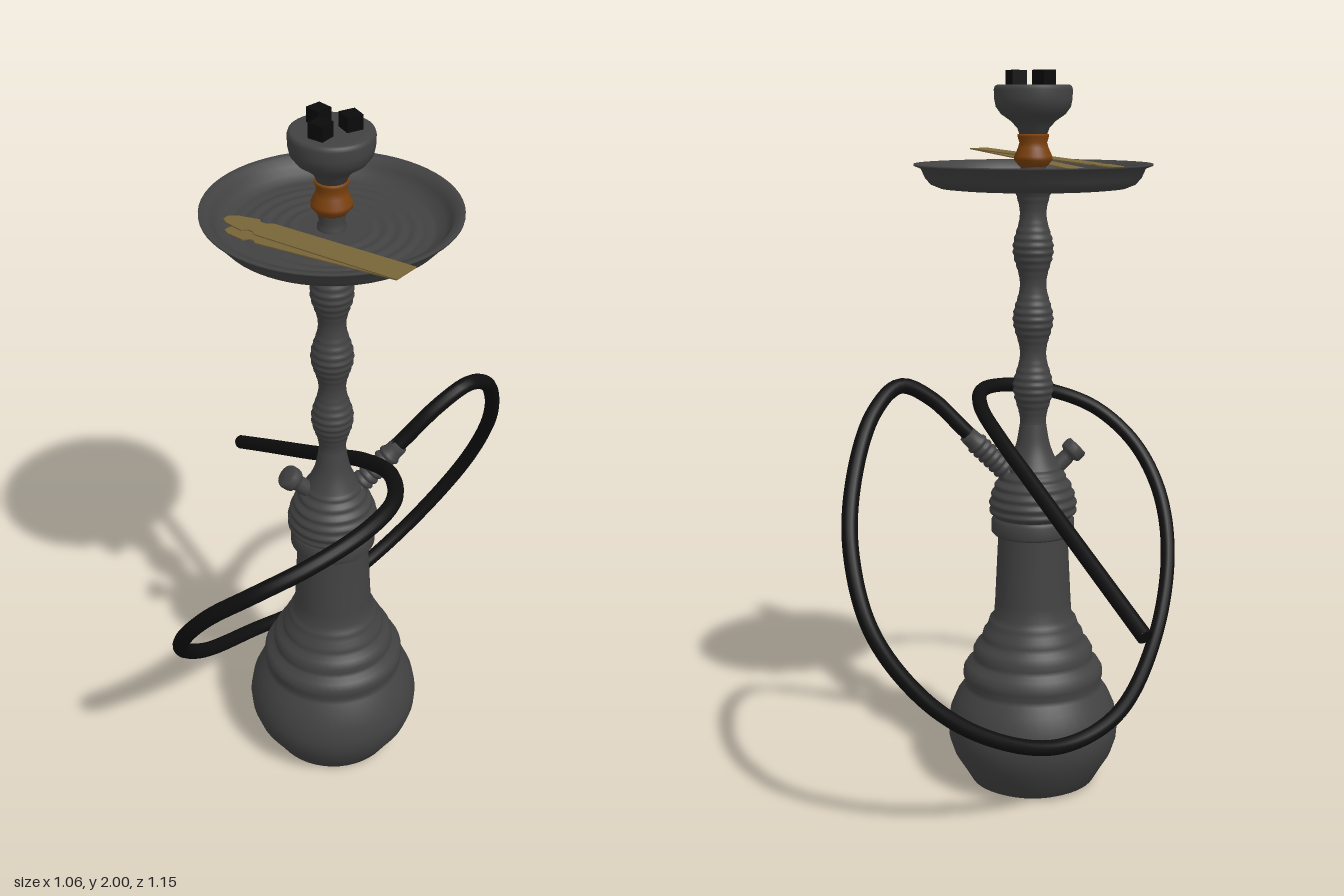
import * as THREE from 'three';

const V3 = (x, y, z) => new THREE.Vector3(x, y, z);
const V2 = ([x, y]) => new THREE.Vector2(x, y);

const mat = (name, color) => {
  const m = new THREE.MeshStandardMaterial({ color });
  m.name = name;
  return m;
};

export function createModel() {
  const grey = mat('dark grey metal', 0x424242);
  const black = mat('hose black', 0x0e0e0e);
  const coalBlack = mat('coal black', 0x0a0a0a);
  const amber = mat('amber collar', 0x7a400c);
  const brass = mat('brass', 0x7a6739);

  const model = new THREE.Group();
  model.name = 'waterPipe';
  const column = new THREE.Group();
  column.name = 'column';
  column.position.set(-0.035, 0, 0.085);
  model.add(column);

  const add = (parent, name, geometry, material) => {
    const mesh = new THREE.Mesh(geometry, material);
    mesh.name = name;
    parent.add(mesh);
    return mesh;
  };
  // profile points run from the bottom, up the outside
  const lathe = (pts, seg = 48) => new THREE.LatheGeometry(pts.map(V2), seg);
  // a lathed part whose axis runs from a point along a direction
  const spoke = (name, pts, from, dir) => {
    const m = add(column, name, lathe(pts, 20), grey);
    m.position.copy(from);
    m.quaternion.setFromUnitVectors(V3(0, 1, 0), dir.clone().normalize());
  };

  // vase with recessed foot and stepped shoulders
  add(column, 'vase', lathe([
    [0, 0.03], [0.07, 0.027], [0.09, 0.004], [0.11, 0], [0.155, 0], [0.178, 0.012],
    [0.2, 0.05], [0.225, 0.09], [0.24, 0.135], [0.243, 0.175], [0.235, 0.22], [0.217, 0.262],
    [0.199, 0.288], [0.193, 0.3], [0.199, 0.32], [0.198, 0.338], [0.188, 0.355], [0.172, 0.366],
    [0.169, 0.378], [0.17, 0.395], [0.16, 0.413], [0.146, 0.422], [0.144, 0.435], [0.14, 0.45],
    [0.13, 0.462], [0.126, 0.475], [0.122, 0.488], [0.11, 0.5], [0.107, 0.54],
    [0.103, 0.62], [0.099, 0.7], [0.097, 0.75]]), grey);

  // collar and ribbed hub
  add(column, 'collar', lathe([
    [0.09, 0.735], [0.11, 0.735], [0.116, 0.742], [0.116, 0.775], [0.108, 0.782], [0.108, 0.788]]), grey);
  const hub = new THREE.SplineCurve([
    [0.108, 0.783], [0.12, 0.8], [0.12, 0.83], [0.108, 0.87], [0.088, 0.905],
    [0.065, 0.945], [0.047, 0.99], [0.036, 1.05]].map(V2)).getPoints(64);
  add(column, 'hub', lathe(hub.map((p) => [
    p.x + (p.y < 0.93 ? 0.0025 * Math.cos((p.y - 0.8) * 2 * Math.PI / 0.026) : 0), p.y])), grey);

  // stem with repeating ringed bulges
  const stem = [];
  for (let i = 0; i <= 160; i++) {
    const y = 1.045 + 0.655 * i / 160;
    const bulge = 0.5 + 0.5 * Math.cos((y - 1.53) * 2 * Math.PI / 0.19);
    const rings = 0.0018 * bulge * Math.cos(y * 2 * Math.PI / 0.02);
    stem.push([0.036 + 0.019 * bulge + rings, y]);
  }
  add(column, 'stem', lathe(stem, 32), grey);

  // tray with rippled floor
  const tray = [
    [0, 1.69], [0.22, 1.69], [0.25, 1.693], [0.275, 1.703], [0.29, 1.72], [0.301, 1.745],
    [0.32, 1.752], [0.32, 1.757], [0.3, 1.756], [0.288, 1.735], [0.275, 1.718], [0.255, 1.708]];
  for (let i = 1; i <= 50; i++) {
    const r = 0.255 * (1 - i / 50);
    const wave = r > 0.09 && r < 0.23 ? 0.002 * Math.sin((r - 0.09) * 2 * Math.PI / 0.035) : 0;
    tray.push([r, 1.706 + wave]);
  }
  add(column, 'tray', lathe(tray, 64), grey);

  // neck, amber collar and bowl
  add(column, 'trayNeck', lathe([
    [0.036, 1.7], [0.036, 1.715], [0.03, 1.722], [0.034, 1.74], [0.034, 1.756]], 32), grey);
  add(column, 'bowlCollar', lathe([
    [0.03, 1.748], [0.038, 1.75], [0.051, 1.766], [0.051, 1.776], [0.041, 1.798],
    [0.037, 1.812], [0.042, 1.828], [0.042, 1.834], [0.03, 1.836]], 32), amber);
  add(column, 'bowl', lathe([
    [0.03, 1.83], [0.037, 1.833], [0.043, 1.85], [0.06, 1.868], [0.086, 1.886], [0.1, 1.905],
    [0.104, 1.925], [0.105, 1.95], [0.102, 1.959], [0.096, 1.962], [0.08, 1.962], [0, 1.962]]), grey);

  // coals
  [[-0.02, -0.045, 0.5], [0.045, 0.005, 0.25], [-0.035, 0.037, 0.7]].forEach(([x, z, turn], i) => {
    const coal = add(column, `coal${i + 1}`, new THREE.BoxGeometry(0.042, 0.042, 0.042), coalBlack);
    coal.position.set(x, 1.979, z);
    coal.rotation.y = turn;
  });

  // ribbed hose port on the left
  const port = [[0.03, 0]];
  for (let i = 0; i < 7; i++) {
    const y = 0.03 + i * 0.02;
    port.push([0.026, y], [0.031, y + 0.005], [0.031, y + 0.012], [0.026, y + 0.018]);
  }
  port.push([0.025, 0.185], [0.024, 0.2], [0, 0.2]);
  spoke('hosePort', port, V3(0.045, 0.885, 0), V3(1, 1, 0));

  // release valve on the right
  spoke('releaseValve', [
    [0.022, 0], [0.022, 0.075], [0.02, 0.085], [0.031, 0.09], [0.033, 0.098],
    [0.033, 0.115], [0.029, 0.122], [0, 0.124]], V3(-0.04, 0.895, 0), V3(-1, 0.95, 0));

  // hose looping round the vase, ending in a straight handle
  const end = V3(-0.172, 0.635, -0.562);
  const path = new THREE.CatmullRomCurve3([
    [0.11, 0.99, 0.085], [0.16, 1.04, 0.085], [0.25, 1.13, 0.083], [0.335, 1.172, 0.06], [0.42, 1.115, -0.02],
    [0.49, 0.96, -0.14], [0.51, 0.8, -0.235], [0.47, 0.61, -0.315], [0.34, 0.425, -0.335],
    [0.17, 0.295, -0.302], [-0.04, 0.22, -0.225], [-0.23, 0.255, -0.12], [-0.4, 0.4, 0.085],
    [-0.495, 0.6, 0.28], [-0.5, 0.76, 0.405], [-0.445, 0.89, 0.49], [-0.34, 0.99, 0.548],
    [-0.2, 1.05, 0.547], [-0.05, 1.085, 0.49], [0.045, 1.09, 0.4], [0.078, 1.065, 0.26],
    [0.052, 1.0, 0.1], [0.01, 0.93, -0.03], [-0.045, 0.84, -0.19], [-0.108, 0.738, -0.376],
    end.toArray()].map((p) => V3(...p)));
  add(model, 'hose', new THREE.TubeGeometry(path, 220, 0.021, 14), black);
  const cap = add(model, 'hoseEnd', new THREE.CircleGeometry(0.021, 14), black);
  cap.position.copy(end);
  cap.quaternion.setFromUnitVectors(V3(0, 0, 1), path.getTangent(1));

  // tongs: two thin blades joined at the outer end
  const half = [[0, 0.036], [0.42, 0.034], [0.435, 0.024], [0.45, 0.024], [0.462, 0.034], [0.52, 0.022], [0.541, 0.009]];
  const outline = [...half, ...half.map(([u, v]) => [u, -v]).reverse()].map(V2);
  const tongs = new THREE.Group();
  tongs.name = 'tongs';
  model.add(tongs);
  const hinge = V3(0.04, 1.784, 0.475);
  [['upperBlade', 1.742], ['lowerBlade', 1.713]].forEach(([name, tipY]) => {
    const u = V3(-0.285, tipY, 0.045).sub(hinge).normalize();
    const v = V3(0, 1, 0).cross(u).normalize();
    const w = u.clone().cross(v);
    const g = new THREE.ExtrudeGeometry(new THREE.Shape(outline), { depth: 0.003, bevelEnabled: false });
    g.applyMatrix4(new THREE.Matrix4().makeBasis(u, v, w).setPosition(hinge));
    add(tongs, name, g, brass);
  });

  return model;
}
